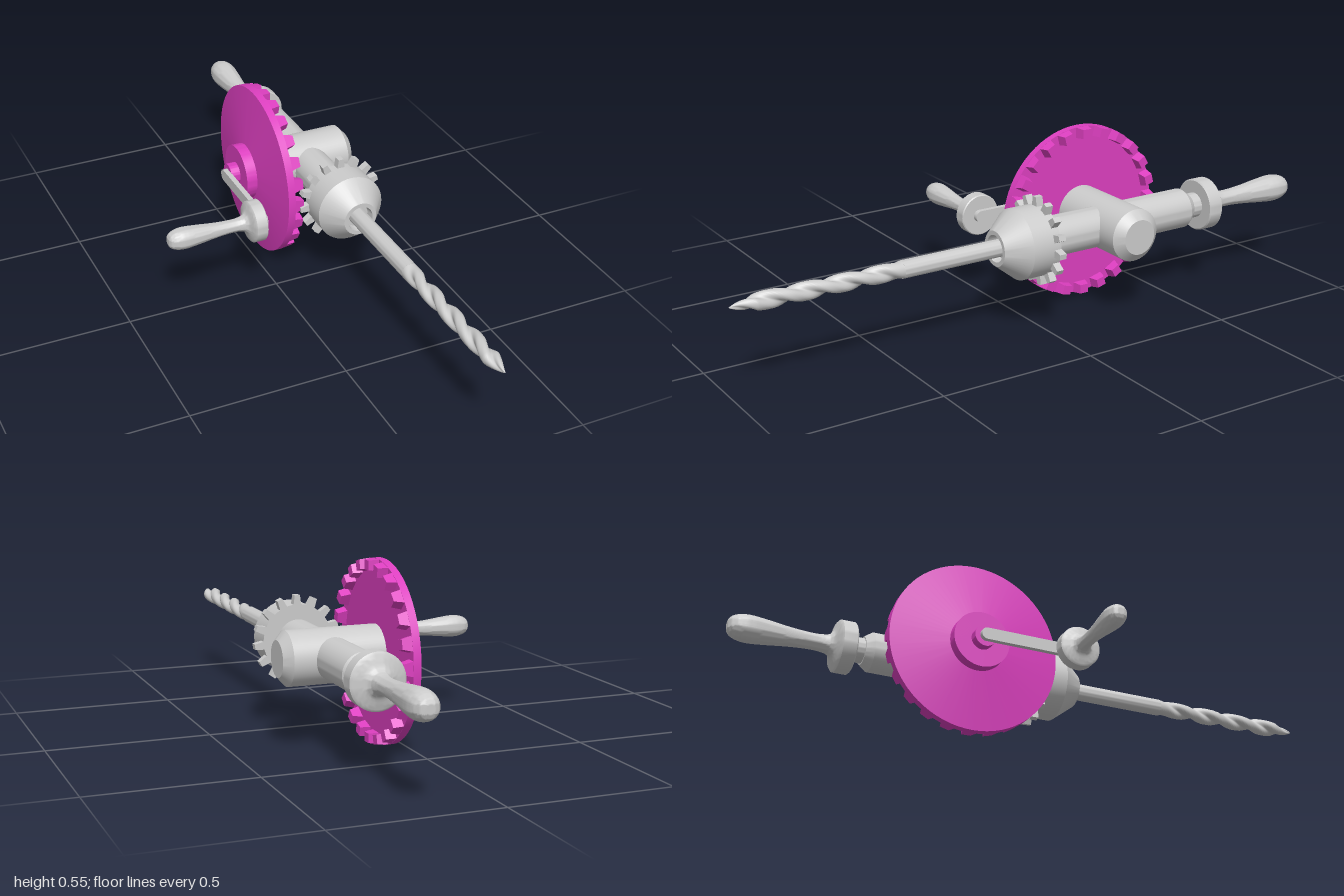
import * as THREE from 'three';
import { mergeGeometries, toCreasedNormals } from 'three/addons/utils/BufferGeometryUtils.js';

const grey = new THREE.MeshStandardMaterial({ color: 0xcccccc });
const magenta = new THREE.MeshStandardMaterial({ color: 0xdd3fc0 });
const AXIS_X = 0.218, AXIS_Y = 0.277, CRANK_Z = -0.27;

// Surface of revolution about y; profile is [radius, height] from low to high
function turned(profile, segments = 48) {
  const points = profile.map(([r, y]) => new THREE.Vector2(r, y));
  return toCreasedNormals(new THREE.LatheGeometry(points, segments), 0.5);
}

function part(name, geometry, material = grey) {
  const mesh = new THREE.Mesh(geometry, material);
  mesh.name = name;
  return mesh;
}

// Turn a y-axis part so it runs along +x or +z
const alongX = (object) => { object.rotation.z = -Math.PI / 2; return object; };
const alongZ = (object) => { object.rotation.x = Math.PI / 2; return object; };

// Tapered gear tooth standing on y = 0
function tooth(width, height, depth, taperX, taperZ) {
  const g = new THREE.BoxGeometry(width, height, depth).translate(0, height / 2, 0);
  const p = g.attributes.position;
  for (let i = 0; i < p.count; i++) {
    if (p.getY(i) > 0) p.setXYZ(i, p.getX(i) * taperX, p.getY(i), p.getZ(i) * taperZ);
  }
  return toCreasedNormals(g, 0.5);
}

function ringOf(geometry, count, start) {
  const copies = [];
  for (let i = 0; i < count; i++) {
    copies.push(geometry.clone().rotateY(start + (i / count) * Math.PI * 2));
  }
  return mergeGeometries(copies);
}

// Bulbous grip with a round collar; collar face at y = 0, grip points down
function handleGeometry(scale) {
  const grip = new THREE.SplineCurve([
    [0, -0.31], [0.018, -0.305], [0.029, -0.29], [0.0345, -0.26], [0.031, -0.215],
    [0.0245, -0.16], [0.021, -0.11], [0.022, -0.075], [0.03, -0.053], [0.06, -0.042],
  ].map(([r, y]) => new THREE.Vector2(r, y)));
  const profile = grip.getPoints(50).map((p) => [Math.max(p.x, 0), p.y]);
  profile.push([0.066, -0.037], [0.066, -0.003], [0.063, 0], [0, 0]);
  return turned(profile).scale(scale, scale, scale);
}

// Twist bit: two-fluted cross-section swept along z with a pointed end
function twistGeometry(z0, z1, radius, pitch) {
  const rings = 120, sides = 32, positions = [], index = [];
  for (let j = 0; j <= rings; j++) {
    const z = z0 + ((z1 - z0) * j) / rings;
    const flute = 0.5 * Math.min(1, (z - z0) / 0.06);
    const tip = Math.min(1, Math.pow(Math.max(0, (z1 - z) / 0.075), 0.8));
    const twist = ((z - z0) / pitch) * Math.PI * 2;
    for (let i = 0; i < sides; i++) {
      const a = (i / sides) * Math.PI * 2;
      const r = radius * tip * (1 - flute * Math.pow(Math.sin(a), 4));
      positions.push(r * Math.cos(a + twist), r * Math.sin(a + twist), z);
      if (j < rings) {
        const k = j * sides, n = (i + 1) % sides;
        index.push(k + i, k + n, k + sides + n, k + i, k + sides + n, k + sides + i);
      }
    }
  }
  const g = new THREE.BufferGeometry();
  g.setAttribute('position', new THREE.Float32BufferAttribute(positions, 3));
  g.setIndex(index);
  g.computeVertexNormals();
  return g;
}

export function createModel() {
  const model = new THREE.Group();
  model.name = 'handDrill';

  // Everything on the drilling axis; heights are z positions
  const spindle = alongZ(new THREE.Group());
  spindle.name = 'spindle';
  spindle.position.set(AXIS_X, AXIS_Y, 0);
  spindle.add(part('mainTube', turned([
    [0, -0.62], [0.04, -0.62], [0.04, -0.575], [0.045, -0.575], [0.063, -0.55], [0.063, 0], [0, 0],
  ])));
  spindle.add(part('chuck', turned([
    [0, -0.012], [0.11, -0.012], [0.11, 0.082], [0.055, 0.152], [0.042, 0.152], [0.038, 0.125], [0, 0.125],
  ])));
  const pinionTooth = tooth(0.026, 0.034, 0.024, 0.65, 1).rotateX(-Math.PI / 2).translate(0, 0, -0.104);
  spindle.add(part('pinionTeeth', ringOf(pinionTooth, 15, 0)));
  spindle.add(part('bitShank', turned([[0, 0.11], [0.027, 0.11], [0.027, 0.47], [0, 0.47]], 32)));
  const rearHandle = part('rearHandle', handleGeometry(1.26));
  rearHandle.position.y = -0.61;
  spindle.add(rearHandle);
  model.add(spindle);

  const bit = part('twistBit', twistGeometry(0.468, 1, 0.027, 0.23));
  bit.position.set(AXIS_X, AXIS_Y, 0);
  model.add(bit);

  // Everything on the crank axis; heights are x positions
  const crank = alongX(new THREE.Group());
  crank.name = 'crankAssembly';
  crank.position.set(0, AXIS_Y, CRANK_Z);
  crank.add(part('crossTube', turned([
    [0, 0.06], [0.083, 0.06], [0.083, 0.348], [0.055, 0.373], [0, 0.373],
  ])));
  crank.add(part('driveWheel', turned([
    [0, -0.05], [0.035, -0.05], [0.035, -0.02], [0.091, -0.02], [0.091, 0.015],
    [0.277, 0.041], [0.277, 0.065], [0, 0.065],
  ], 72), magenta));
  const wheelTooth = tooth(0.046, 0.032, 0.034, 0.65, 0.85).translate(0, 0.063, 0.259);
  crank.add(part('driveWheelTeeth', ringOf(wheelTooth, 24, 0), magenta));
  model.add(crank);

  // Flat crank arm with rounded ends
  const length = 0.3, r = 0.019;
  const outline = new THREE.Shape();
  outline.absarc(0, 0, r, Math.PI / 2, Math.PI * 1.5);
  outline.absarc(length, 0, r, -Math.PI / 2, Math.PI / 2);
  const arm = part('crankArm', new THREE.ExtrudeGeometry(outline, { depth: 0.017, bevelEnabled: false }));
  arm.rotation.y = -Math.PI / 2;
  arm.position.set(-0.049, AXIS_Y, CRANK_Z);
  model.add(arm);

  const crankHandle = alongX(part('crankHandle', handleGeometry(1)));
  crankHandle.position.set(-0.065, AXIS_Y, 0.024);
  model.add(crankHandle);

  return model;
}
